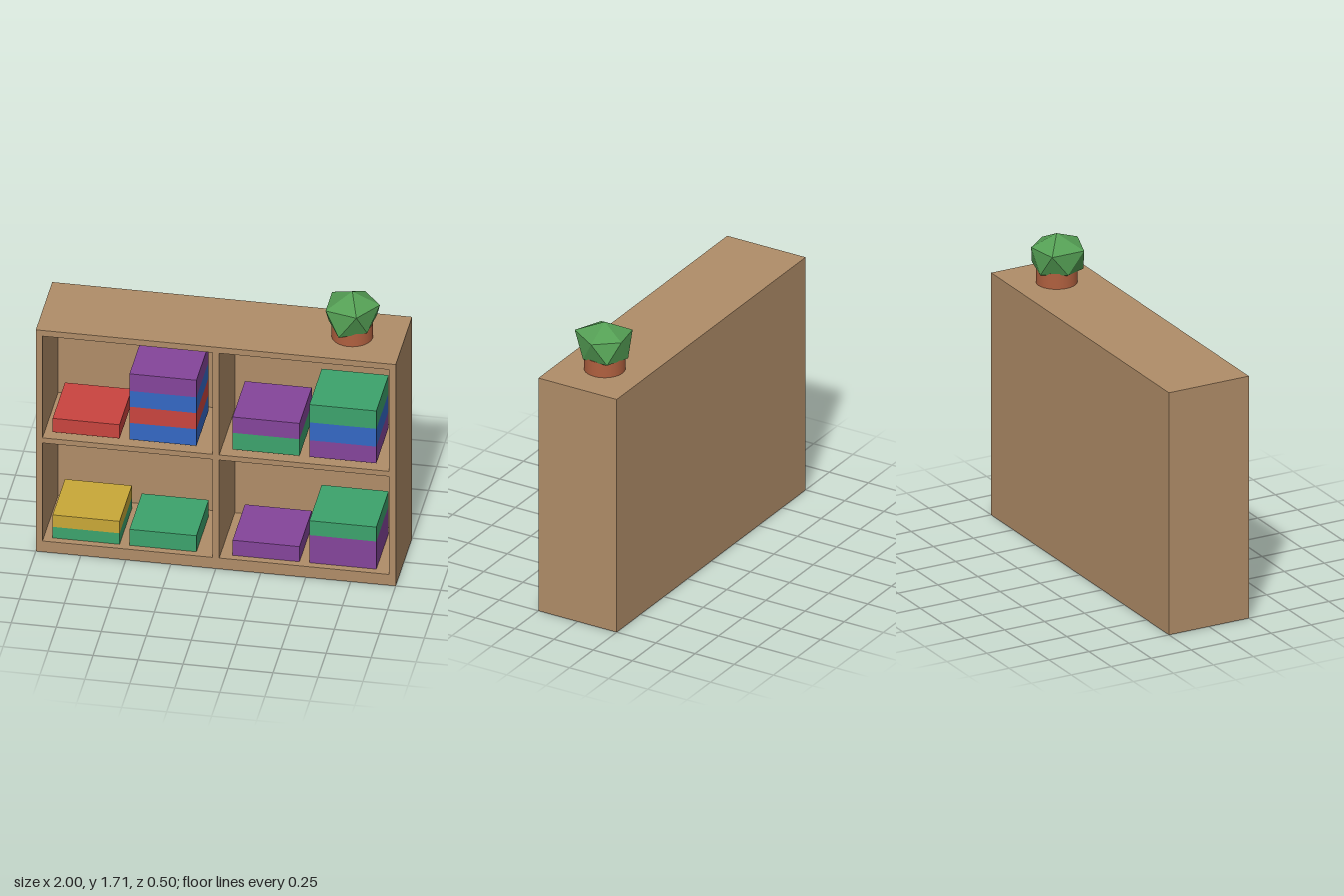
import * as THREE from 'three';

const material = (name, color) => {
  const m = new THREE.MeshStandardMaterial({ color });
  m.name = name;
  return m;
};

export function createModel() {
  const model = new THREE.Group();
  model.name = 'bookshelf';

  const wood = material('wood', 0xb08d68);
  const terracotta = material('terracotta', 0xb0603f);
  const leaf = material('leaf', 0x55a055);
  const colours = {
    red: material('red', 0xc9443f),
    blue: material('blue', 0x3468c4),
    green: material('green', 0x3ca36c),
    purple: material('purple', 0x84459a),
    yellow: material('yellow', 0xc8a838),
  };

  // box given by its min and max corners
  const box = (name, mat, [x0, y0, z0], [x1, y1, z1], parent = model) => {
    const mesh = new THREE.Mesh(new THREE.BoxGeometry(x1 - x0, y1 - y0, z1 - z0), mat);
    mesh.position.set((x0 + x1) / 2, (y0 + y1) / 2, (z0 + z1) / 2);
    mesh.name = name;
    parent.add(mesh);
    return mesh;
  };

  // cabinet: a frame with four openings, closed by a back panel
  const H = 1.428, inner = 0.963, half = 0.019, backZ = -0.225;
  const rows = [[0.07, 0.702], [0.735, 1.391]];
  const rect = (path, x0, y0, x1, y1) =>
    path.moveTo(x0, y0).lineTo(x1, y0).lineTo(x1, y1).lineTo(x0, y1).closePath();
  const outline = rect(new THREE.Shape(), -1, 0, 1, H);
  for (const [y0, y1] of rows) {
    for (const [x0, x1] of [[-inner, -half], [half, inner]]) {
      outline.holes.push(rect(new THREE.Path(), x0, y0, x1, y1));
    }
  }
  const frame = new THREE.Mesh(
    new THREE.ExtrudeGeometry(outline, { depth: 0.25 - backZ, bevelEnabled: false }), wood);
  frame.position.z = backZ;
  frame.name = 'cabinetFrame';
  model.add(frame);
  box('backPanel', wood, [-1, 0, -0.25], [1, H, backZ]);

  // stacked books: left edge, base height, then colour and top of each book
  const stacks = [
    [-0.914, 0.754, ['red', 0.842]],
    [-0.487, 0.754, ['blue', 0.861], ['red', 0.965], ['blue', 1.067], ['purple', 1.177]],
    [0.086, 0.754, ['green', 0.861], ['purple', 0.963]],
    [0.513, 0.754, ['purple', 0.861], ['blue', 0.976], ['green', 1.091]],
    [-0.914, 0.071, ['green', 0.142], ['yellow', 0.219]],
    [-0.487, 0.071, ['green', 0.174]],
    [0.086, 0.071, ['purple', 0.168]],
    [0.513, 0.071, ['purple', 0.249], ['green', 0.342]],
  ];
  for (const [x, base, ...books] of stacks) {
    const stack = new THREE.Group();
    stack.name = 'bookStack';
    let y = base;
    for (const [colour, top] of books) {
      box(colour + 'Book', colours[colour], [x, y, -0.165], [x + 0.372, top, 0.21], stack);
      y = top;
    }
    model.add(stack);
  }

  // plant pot
  const pot = new THREE.Mesh(new THREE.CylinderGeometry(0.114, 0.114, 0.09, 32), terracotta);
  pot.position.set(0.713, H + 0.045, 0);
  pot.name = 'plantPot';
  model.add(pot);

  // foliage: irregular twenty-sided ball from two rings and two poles
  const top = [0.713, 1.714, 0], bottom = [0.713, 1.445, 0];
  const upper = [[0.866, 1.64, -0.005], [0.765, 1.645, 0.16], [0.583, 1.635, 0.1],
    [0.583, 1.635, -0.1], [0.759, 1.64, -0.134]];
  const lower = [[0.81, 1.505, 0.08], [0.663, 1.495, 0.14], [0.583, 1.51, 0],
    [0.672, 1.505, -0.125], [0.834, 1.52, -0.088]];
  const points = [];
  for (let i = 0; i < 5; i++) {
    const j = (i + 1) % 5;
    points.push(top, upper[j], upper[i]);
    points.push(upper[i], upper[j], lower[i]);
    points.push(upper[j], lower[j], lower[i]);
    points.push(bottom, lower[i], lower[j]);
  }
  const ball = new THREE.BufferGeometry();
  ball.setAttribute('position', new THREE.Float32BufferAttribute(points.flat(), 3));
  ball.computeVertexNormals();
  const foliage = new THREE.Mesh(ball, leaf);
  foliage.name = 'foliage';
  model.add(foliage);

  return model;
}
